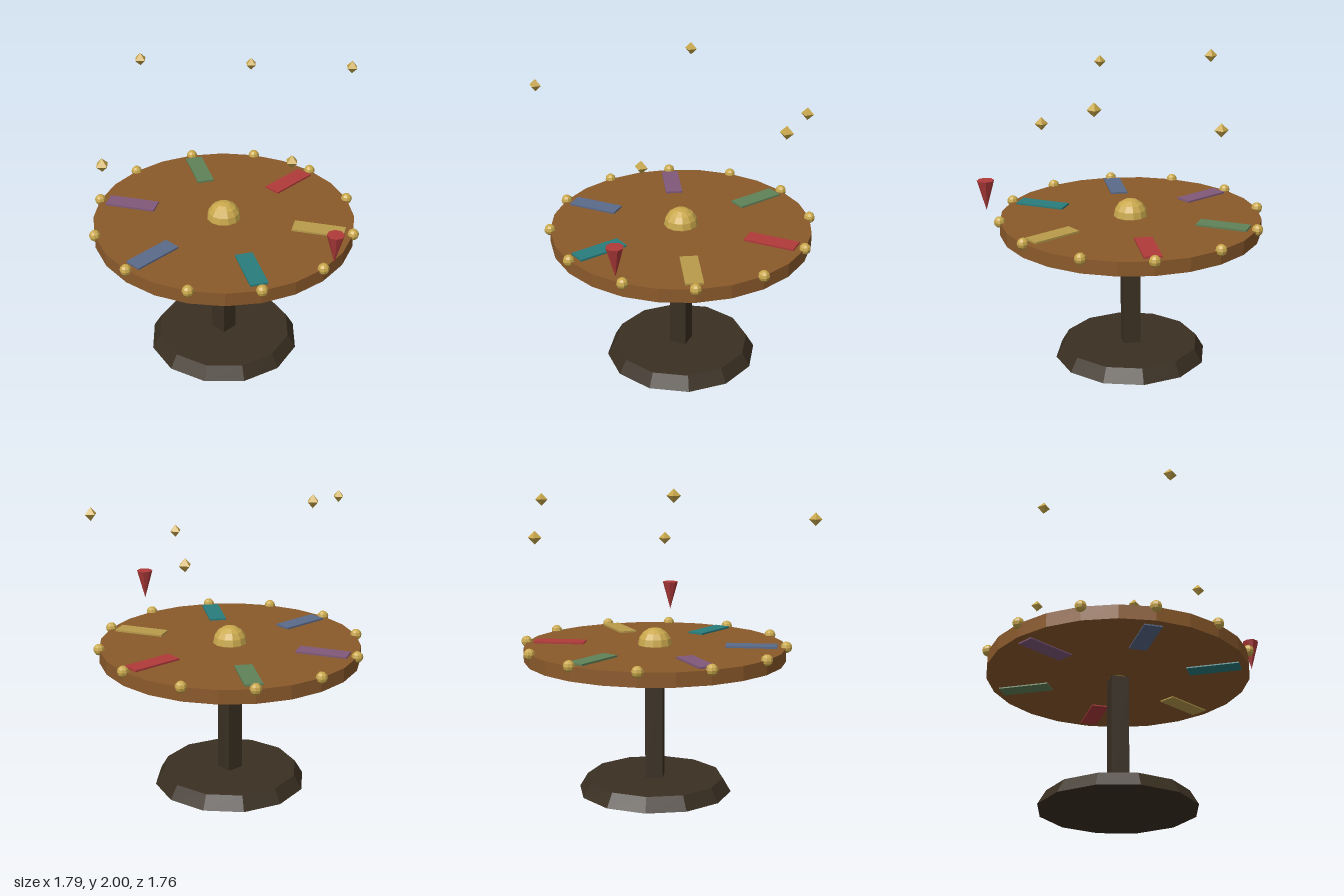
import * as THREE from 'three';

const TWIST = Math.PI / 6;

export function createModel() {
  const model = new THREE.Group();
  model.name = 'prizeWheel';

  const mat = (color) => new THREE.MeshStandardMaterial({ color, flatShading: true });
  const wood = mat(0x8b5a2b);
  const darkWood = mat(0x3a2f22);
  const gold = mat(0xc9a84c);
  const red = mat(0xb03a3a);

  const add = (parent, name, geometry, material, x, y, z, turn = TWIST) => {
    const mesh = new THREE.Mesh(geometry, material);
    mesh.name = name;
    mesh.position.set(x, y, z);
    mesh.rotation.y = turn;
    parent.add(mesh);
    return mesh;
  };

  // Stand and wheel share one axis
  const table = new THREE.Group();
  table.name = 'wheelTable';
  table.position.x = -0.012;
  model.add(table);

  add(table, 'base', new THREE.CylinderGeometry(0.447, 0.5, 0.09, 12), darkWood, 0, 0.045, 0);
  add(table, 'post', new THREE.BoxGeometry(0.113, 0.79, 0.113), darkWood, 0, 0.475, 0);
  add(table, 'wheelDisc', new THREE.CylinderGeometry(0.842, 0.842, 0.09, 24), wood, 0, 0.923, 0);
  add(table, 'hub', new THREE.SphereGeometry(0.11, 12, 8), gold, 0, 0.97, 0);

  // Coloured panels set through the disc, counter-clockwise from the front
  const panelColors = [0x2a7d7d, 0xb89b4a, 0xb03a3a, 0x5f8258, 0x80597a, 0x5a6a8a];
  const panelGeo = new THREE.BoxGeometry(0.112, 0.11, 0.33);
  panelColors.forEach((color, i) => {
    const a = (i * Math.PI) / 3;
    add(table, 'panel', panelGeo, mat(color), 0.622 * Math.sin(a), 0.925, 0.622 * Math.cos(a), a);
  });

  // Rim pegs
  const pegGeo = new THREE.SphereGeometry(0.037, 8, 6);
  for (let i = 0; i < 12; i++) {
    const a = (i * Math.PI) / 6;
    add(table, 'rimPeg', pegGeo, gold, 0.842 * Math.sin(a), 0.97, 0.842 * Math.cos(a));
  }

  // Pointer hanging over the rim, tip down
  const pointerGeo = new THREE.ConeGeometry(0.054, 0.195, 8).rotateX(Math.PI);
  add(model, 'pointer', pointerGeo, red, 0.447, 1.153, 0.798);

  // Floating crystals
  const crystalGeo = new THREE.OctahedronGeometry(0.042);
  [
    [-0.86, 1.78, 0.545],
    [-0.44, 1.958, -0.39],
    [0.268, 1.6, 0.487],
    [0.372, 1.69, -0.7],
    [0.855, 1.87, -0.106],
  ].forEach(([x, y, z]) => add(model, 'crystal', crystalGeo, gold, x, y, z));

  return model;
}
